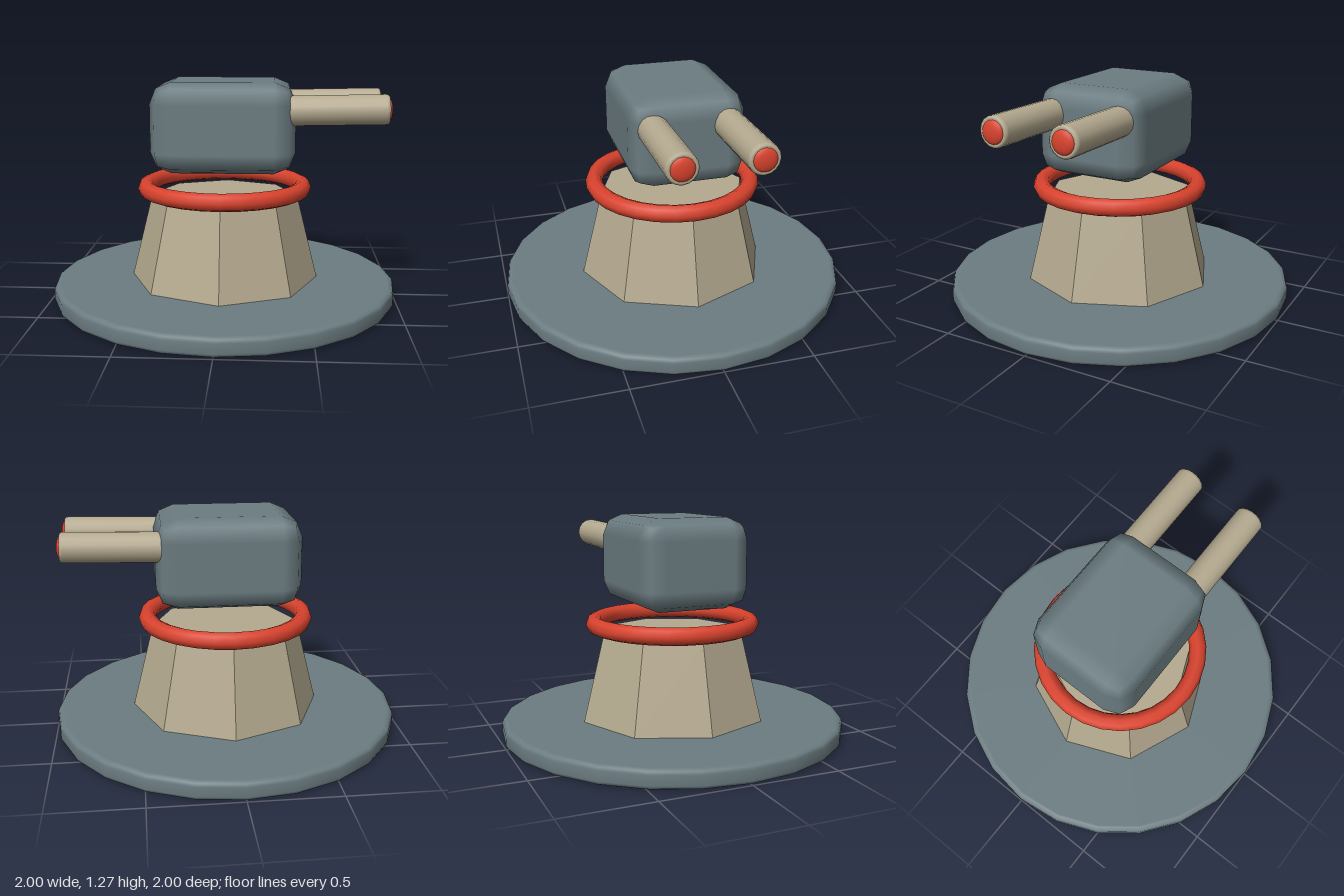
import * as THREE from 'three';
import { RoundedBoxGeometry } from 'three/addons/geometries/RoundedBoxGeometry.js';

const material = (name, color, options = {}) =>
  new THREE.MeshStandardMaterial({ name, color, ...options });

export function createModel() {
  const model = new THREE.Group();
  model.name = 'turret';
  const steel = material('blue grey', 0x6b7c81);
  const sand = material('sand', 0xb5aa90);
  const red = material('signal red', 0xda432e);

  const add = (name, geometry, mat, parent = model) => {
    const mesh = new THREE.Mesh(geometry, mat);
    mesh.name = name;
    parent.add(mesh);
    return mesh;
  };
  const lathe = (points, sides) =>
    new THREE.LatheGeometry(points.map(([r, y]) => new THREE.Vector2(r, y)), sides);

  // Round base plate with softened rims
  add('basePlate', lathe([
    [0, 0], [0.965, 0], [0.975, 0], [0.993, 0.008], [1, 0.025],
    [1, 0.08], [0.993, 0.097], [0.975, 0.105], [0.965, 0.105], [0, 0.105],
  ], 24), steel);

  // Eight-sided tapered pedestal, with its facets kept sharp
  const pedestal = new THREE.CylinderGeometry(0.425, 0.55, 0.5, 8).toNonIndexed();
  pedestal.computeVertexNormals();
  add('pedestal', pedestal, sand).position.y = 0.35;

  // Ring around the top of the pedestal
  const ring = add('pivotRing', new THREE.TorusGeometry(0.455, 0.05, 8, 28), red);
  ring.rotation.x = Math.PI / 2;
  ring.position.y = 0.65;

  // Floating gun housing
  add('housing', new RoundedBoxGeometry(0.81, 0.51, 0.645, 1, 0.12), steel).position.y = 1.015;

  // Twin barrels, slightly raised, with domed muzzle caps
  for (const side of [1, -1]) {
    const gun = new THREE.Group();
    gun.name = side > 0 ? 'frontBarrel' : 'backBarrel';
    gun.position.set(0.3, 1.113, side * 0.203);
    gun.rotation.z = -Math.PI / 2 + 0.02;
    add('barrel', lathe([
      [0, 0], [0.084, 0], [0.084, 0.01], [0.084, 0.59], [0.083, 0.602],
      [0.075, 0.61], [0.07, 0.61], [0, 0.61],
    ], 16), sand, gun);
    const cap = add('muzzleCap', new THREE.SphereGeometry(0.064, 16, 10), red, gun);
    cap.scale.y = 0.35;
    cap.position.y = 0.607;
    model.add(gun);
  }
  return model;
}
